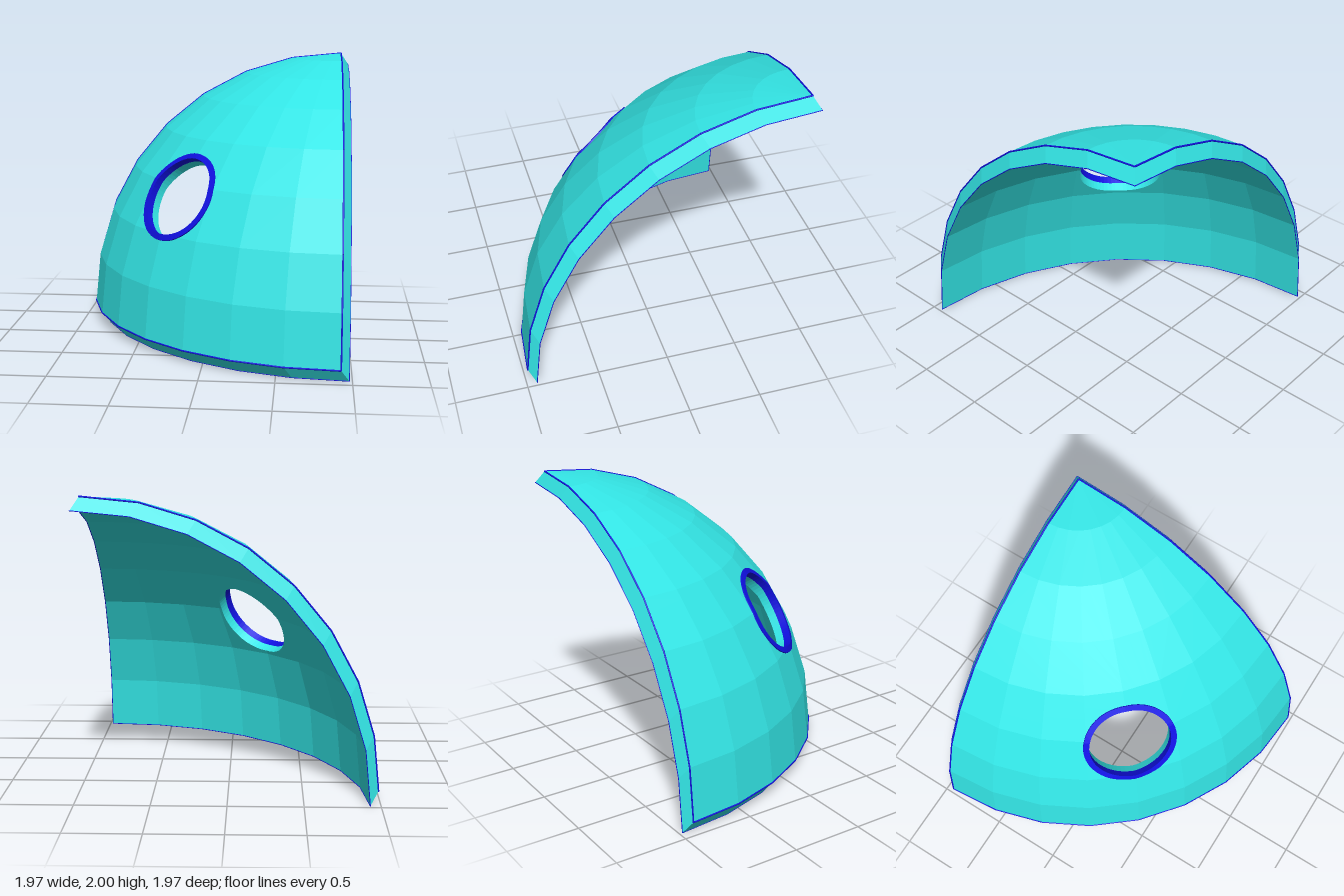
import * as THREE from 'three';

const V = (x, y, z) => new THREE.Vector3(x, y, z);
const N = 8, R = 1.91, SIDES = 64;
const OUTER = V(0.925, 0.09, -0.93), INNER = V(0.98, 0.005, -0.98);
const HOLE_R = 0.296, RIM_R = 0.336;

// Frame of the round hole: centre, axis and two directions across it
const HOLE = V(-0.21, 1.065, 0.2);
const AXIS = V(-0.605, 0.52, 0.602).normalize();
const E1 = V(0, 1, 0).cross(AXIS).normalize();
const E2 = AXIS.clone().cross(E1);

// Point on an eighth of a sphere: i is the latitude step, j the longitude step
function point(centre, i, j) {
  const lat = (i / N) * Math.PI / 2, lon = (j / N) * Math.PI / 2;
  return V(-Math.cos(lat) * Math.cos(lon), Math.sin(lat), Math.cos(lat) * Math.sin(lon))
    .multiplyScalar(R).add(centre);
}

function facets(centre) {
  const list = [];
  for (let i = 0; i < N; i++) for (let j = 0; j < N; j++) {
    const f = [point(centre, i, j), point(centre, i, j + 1), point(centre, i + 1, j + 1)];
    if (i < N - 1) f.push(point(centre, i + 1, j));
    list.push(f);
  }
  return list;
}

// Keep the part of a polygon where dist >= 0
function clip(poly, dist) {
  const out = [];
  poly.forEach((p, k) => {
    const q = poly[(k + 1) % poly.length], a = dist(p), b = dist(q);
    if (a >= 0) out.push(p);
    if ((a > 0 && b < 0) || (a < 0 && b > 0)) out.push(p.clone().lerp(q, a / (a - b)));
  });
  return out;
}

// Cut the round hole out of a flat facet, giving convex pieces
function cutHole(poly) {
  const near = poly.some(p => p.clone().sub(HOLE).length() < 1);
  if (!near) return [poly];
  const pieces = [];
  let rest = poly;
  for (let k = 0; k < SIDES && rest.length > 2; k++) {
    const t = ((k + 0.5) / SIDES) * Math.PI * 2;
    const dir = E1.clone().multiplyScalar(Math.cos(t)).addScaledVector(E2, Math.sin(t));
    const edge = HOLE_R * Math.cos(Math.PI / SIDES);
    const dist = p => p.clone().sub(HOLE).dot(dir) - edge;
    const piece = clip(rest, dist);
    if (piece.length > 2) pieces.push(piece);
    rest = clip(rest, p => -dist(p));
  }
  return pieces;
}

// Flat-faced geometry from convex polygons
function polygons(list) {
  const pos = [];
  for (const f of list) for (let k = 1; k < f.length - 1; k++)
    for (const p of [f[0], f[k], f[k + 1]]) pos.push(p.x, p.y, p.z);
  const g = new THREE.BufferGeometry();
  g.setAttribute('position', new THREE.Float32BufferAttribute(pos, 3));
  g.computeVertexNormals();
  return g;
}

// Point at a radius and angle around the hole, dropped along the axis onto a faceted surface
function onSurface(surface, radius, angle, lift) {
  const p = HOLE.clone().addScaledVector(E1, radius * Math.cos(angle))
    .addScaledVector(E2, radius * Math.sin(angle));
  const ray = new THREE.Ray(p.clone().addScaledVector(AXIS, 0.6), AXIS.clone().negate());
  const hit = V(0, 0, 0);
  for (const f of surface) for (let k = 1; k < f.length - 1; k++)
    if (ray.intersectTriangle(f[0], f[k], f[k + 1], false, hit)) return hit.addScaledVector(AXIS, lift);
  return p.addScaledVector(AXIS, lift);
}

// Sweep a profile of [surface, radius, lift] around the hole
function aroundHole(profile) {
  const rows = [];
  for (let k = 0; k < SIDES; k++)
    rows.push(profile.map(([s, r, h]) => onSurface(s, r, (k / SIDES) * Math.PI * 2, h)));
  const quads = [];
  rows.forEach((a, k) => {
    const b = rows[(k + 1) % SIDES];
    for (let m = 0; m < profile.length - 1; m++) quads.push([a[m], b[m], b[m + 1], a[m + 1]]);
  });
  return polygons(quads);
}

export function createModel() {
  const model = new THREE.Group();
  const turquoise = new THREE.MeshStandardMaterial({ color: 0x33e6e6, side: THREE.DoubleSide });
  turquoise.name = 'turquoise';
  const blue = new THREE.MeshStandardMaterial({ color: 0x1010e0, side: THREE.DoubleSide });
  blue.name = 'blue';
  const add = (name, geometry, material, parent = model) => {
    const mesh = new THREE.Mesh(geometry, material);
    mesh.name = name;
    parent.add(mesh);
  };

  // Outer and inner faces of the shell, with the hole cut through both
  const outer = facets(OUTER), inner = facets(INNER);
  add('outerShell', polygons(outer.flatMap(cutHole)), turquoise);
  add('innerShell', polygons(inner.flatMap(cutHole).map(f => f.slice().reverse())), turquoise);

  // Hole wall and the raised blue rim around it
  add('holeWall', aroundHole([[outer, HOLE_R, 0], [inner, HOLE_R, 0]]), turquoise);
  add('holeRim', aroundHole([[outer, RIM_R, -0.01], [outer, RIM_R, 0.008],
    [outer, HOLE_R - 0.002, 0.008], [outer, HOLE_R - 0.002, -0.045]]), blue);

  // Sloping bands joining the two faces along the three cut edges
  const edges = { bottomEdge: k => [0, k], backEdge: k => [N - k, 0], sideEdge: k => [k, N] };
  const trim = new THREE.Group();
  trim.name = 'edgeTrim';
  model.add(trim);
  for (const [name, at] of Object.entries(edges)) {
    const band = [];
    for (let k = 0; k < N; k++) {
      const [a, b, c, d] = [point(OUTER, ...at(k)), point(INNER, ...at(k)),
        point(INNER, ...at(k + 1)), point(OUTER, ...at(k + 1))];
      band.push([a, b, c, d]);
      // Fine blue lines along the outer and inner corners
      for (const [p, q, r] of [[a, d, 0.006], [b, c, 0.003]]) {
        const line = new THREE.CylinderGeometry(r, r, p.distanceTo(q), 6);
        line.applyQuaternion(new THREE.Quaternion().setFromUnitVectors(V(0, 1, 0), q.clone().sub(p).normalize()));
        const mid = p.clone().lerp(q, 0.5);
        line.translate(mid.x, mid.y, mid.z);
        add(name + 'Line', line, blue, trim);
      }
    }
    add(name, polygons(band), turquoise);
  }
  return model;
}
